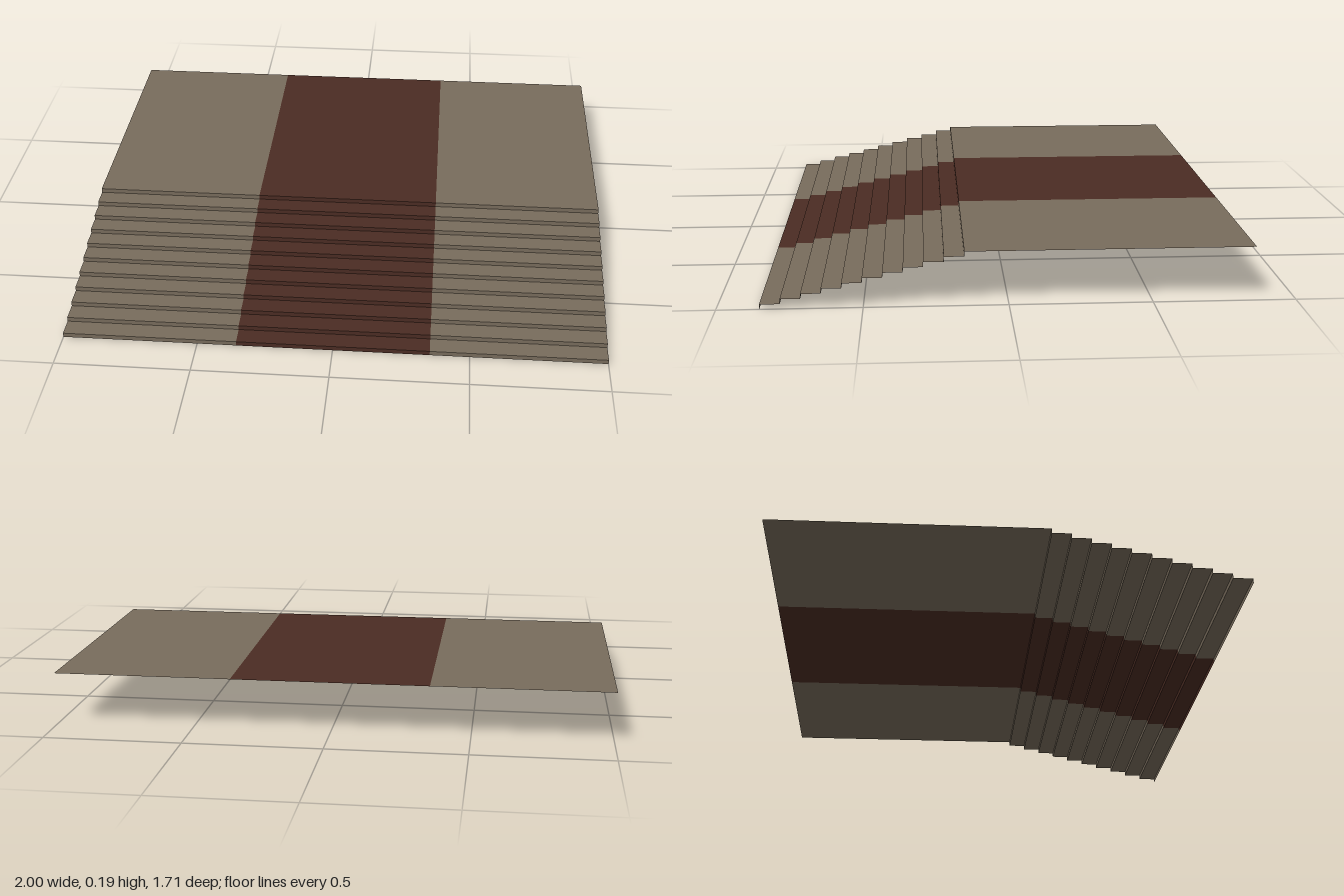
import * as THREE from 'three';

const HALF_WIDTH = 1, HALF_CARPET = 0.355;
const BACK = -0.853, FRONT = 0.853, LANDING_FRONT = 0.153, TOP = 0.194;
const TREADS = 10, RISERS = TREADS + 1;

// Side profile as [z, y] points: flat landing, then risers and treads down to the floor
function stairProfile() {
  const points = [[BACK, TOP], [LANDING_FRONT, TOP]];
  const depth = (FRONT - LANDING_FRONT) / TREADS;
  for (let i = 1; i <= RISERS; i++) {
    const y = TOP * (1 - i / RISERS);
    points.push([LANDING_FRONT + (i - 1) * depth, y]);
    if (i < RISERS) points.push([LANDING_FRONT + i * depth, y]);
  }
  return points;
}

// Sweep the profile between two x positions, with separate corners for crisp edges
function strip(name, x0, x1, material) {
  const profile = stairProfile();
  const positions = [];
  for (let i = 0; i < profile.length - 1; i++) {
    const [za, ya] = profile[i], [zb, yb] = profile[i + 1];
    positions.push(x0, ya, za, x0, yb, zb, x1, yb, zb);
    positions.push(x0, ya, za, x1, yb, zb, x1, ya, za);
  }
  const geometry = new THREE.BufferGeometry();
  geometry.setAttribute('position', new THREE.Float32BufferAttribute(positions, 3));
  geometry.computeVertexNormals();
  const mesh = new THREE.Mesh(geometry, material);
  mesh.name = name;
  return mesh;
}

export function createModel() {
  const stone = new THREE.MeshStandardMaterial({ color: 0x786c5c, side: THREE.DoubleSide });
  stone.name = 'stone';
  const carpet = new THREE.MeshStandardMaterial({ color: 0x4b2c23, side: THREE.DoubleSide });
  carpet.name = 'carpet';

  const group = new THREE.Group();
  group.name = 'carpetedStairs';
  group.add(
    strip('rightStoneSteps', -HALF_WIDTH, -HALF_CARPET, stone),
    strip('carpetRunner', -HALF_CARPET, HALF_CARPET, carpet),
    strip('leftStoneSteps', HALF_CARPET, HALF_WIDTH, stone),
  );
  return group;
}
